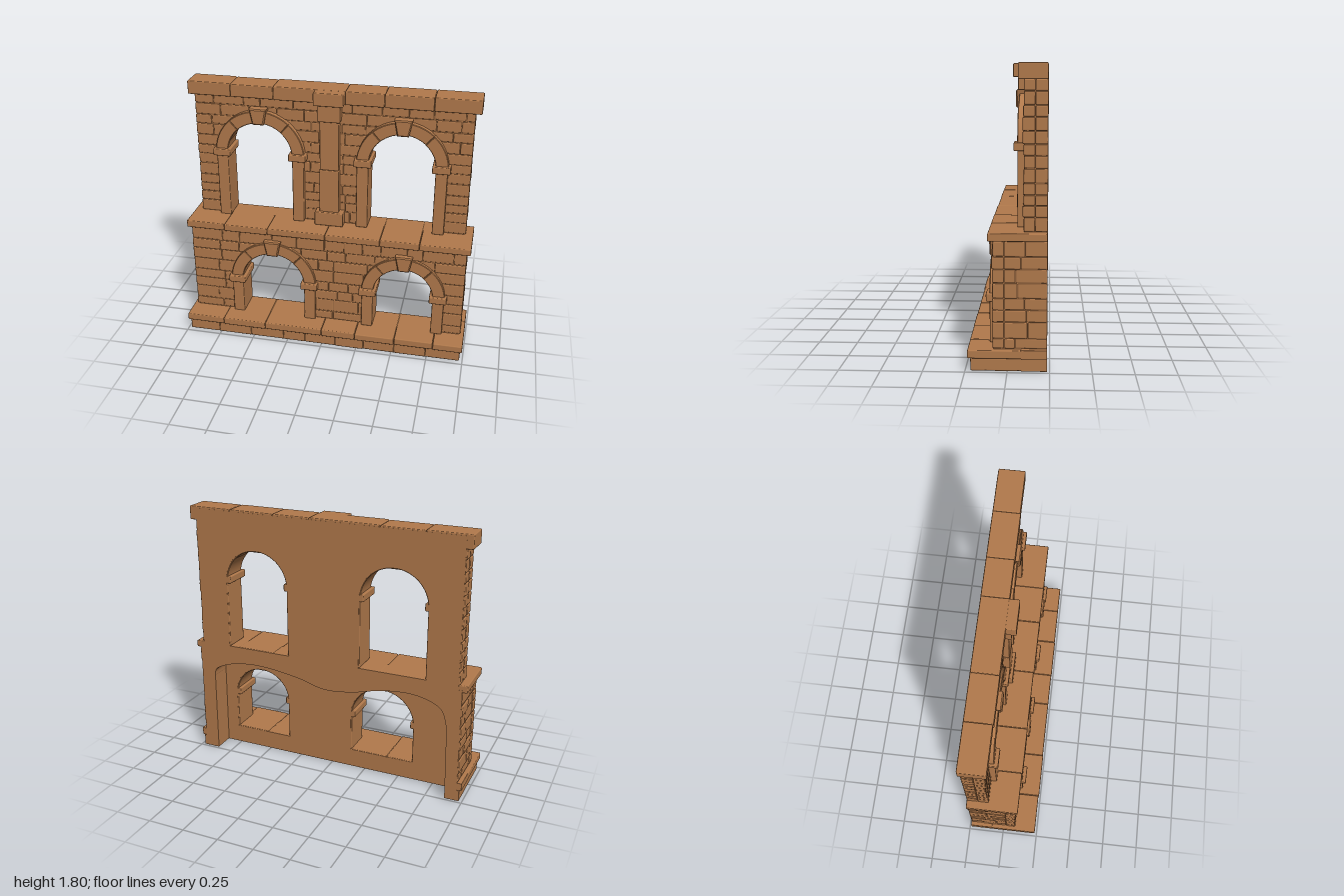
import * as THREE from 'three';
import { mergeGeometries } from 'three/addons/utils/BufferGeometryUtils.js';
import { RoundedBoxGeometry } from 'three/addons/geometries/RoundedBoxGeometry.js';

const BACK = -0.235;   // flat rear plane
const RECESS = -0.09;  // rear wall of the lower hollow
const TRIM = 0.085;    // width of the arch surrounds

export function createModel() {
  const group = new THREE.Group();
  const stone = new THREE.MeshStandardMaterial({ color: 0xb27a4c });
  stone.name = 'brown stone';

  let seed = 7;
  const rand = (a, b) => {
    seed = (seed * 16807) % 2147483647;
    return a + (b - a) * (seed / 2147483647);
  };

  const add = (name, geometries) => {
    const mesh = new THREE.Mesh(mergeGeometries(geometries), stone);
    mesh.name = name;
    group.add(mesh);
  };

  // Stone block given by its limits, with softened edges
  const block = (x0, x1, y0, y1, z0, z1, r = 0.007) => {
    const w = x1 - x0, h = y1 - y0, d = z1 - z0;
    const g = new RoundedBoxGeometry(w, h, d, 1, Math.min(r, w / 3, h / 3, d / 3));
    return g.translate((x0 + x1) / 2, (y0 + y1) / 2, (z0 + z1) / 2);
  };

  // Row of blocks split at the given joints
  const row = (joints, y0, y1, z0, z1) => joints.slice(1).map((x, i) =>
    block(joints[i] + 0.001, x - 0.001, y0 + rand(0, 0.003), y1 - rand(0, 0.004), z0, z1 - rand(0, 0.006)));

  const extrude = (shape, z0, z1, bevel = 0) => new THREE.ExtrudeGeometry(shape, {
    depth: z1 - z0 - 2 * bevel, bevelEnabled: bevel > 0, bevelSize: bevel, bevelThickness: bevel,
    bevelOffset: -bevel, bevelSegments: 1, curveSegments: 20,
  }).translate(0, 0, z0 + bevel);

  const polygon = (points) => new THREE.Shape(points.map(([x, y]) => new THREE.Vector2(x, y)));

  // Openings: centre x, inner radius, sill and spring heights
  const lower = [
    { x: -0.373, r: 0.224, sill: 0.13, spring: 0.405 },
    { x: 0.552, r: 0.207, sill: 0.13, spring: 0.41 },
  ];
  const upper = [
    { x: -0.488, r: 0.227, sill: 0.83, spring: 1.31 },
    { x: 0.49, r: 0.224, sill: 0.83, spring: 1.31 },
  ];

  const openingPath = (o, grow) => {
    const p = new THREE.Path();
    p.moveTo(o.x - o.r - grow, o.sill);
    p.lineTo(o.x + o.r + grow, o.sill);
    p.absarc(o.x, o.spring, o.r + grow, 0, Math.PI, false);
    p.closePath();
    return p;
  };

  // Wall cores with arched openings
  const core = (w, y0, y1, z0, z1, openings) => {
    const s = polygon([[-w, y0], [w, y0], [w, y1], [-w, y1]]);
    s.holes = openings.map((o) => openingPath(o, 0.008));
    return extrude(s, z0, z1);
  };
  add('upperWallCore', [core(0.935, 0.8, 1.79, BACK, -0.098, upper)]);
  add('lowerWallCore', [core(0.96, 0.002, 0.8, RECESS, 0.082, lower)]);

  // Rear of the lower storey, hollowed under a wavy edge
  const rear = polygon([[-0.96, 0.002], [-0.96, 0.8], [0.96, 0.8], [0.96, 0.002], [0.86, 0.002], [0.855, 0.58]]);
  rear.splineThru([[0.83, 0.645], [0.68, 0.7], [0.47, 0.715], [0.2, 0.68], [0, 0.63], [-0.2, 0.645],
    [-0.43, 0.7], [-0.65, 0.71], [-0.82, 0.65], [-0.87, 0.52]].map(([x, y]) => new THREE.Vector2(x, y)));
  rear.lineTo(-0.88, 0.002);
  add('rearRecess', [extrude(rear, BACK, RECESS + 0.005)]);

  // Brick courses on the front and both ends of a storey
  const halfWidth = (o, y) => {
    if (y <= o.spring) return o.r;
    const dy = y - o.spring;
    return dy < o.r ? Math.sqrt(o.r * o.r - dy * dy) : 0;
  };
  const split = (a, b, min, max) => {
    const cuts = [a];
    while (b - cuts[cuts.length - 1] > max) {
      const left = b - cuts[cuts.length - 1];
      cuts.push(cuts[cuts.length - 1] + Math.min(rand(min, max), left - min * 0.6));
    }
    return [...cuts, b];
  };
  const bricks = (name, w, y0, y1, count, front, openings) => {
    const parts = [];
    const weights = Array.from({ length: count }, () => rand(0.75, 1.25));
    const total = weights.reduce((a, b) => a + b, 0);
    let y = y0;
    for (const weight of weights) {
      const top = y + (weight / total) * (y1 - y0);
      const edges = [-w];
      for (const o of openings) {
        const hw = halfWidth(o, y);
        if (hw > 0) edges.push(o.x - hw - 0.015, o.x + hw + 0.015);
      }
      edges.push(w);
      for (let i = 0; i < edges.length; i += 2) {
        const cuts = split(edges[i], edges[i + 1], 0.1, 0.24);
        for (let k = 1; k < cuts.length; k++) {
          const j = rand(0, 0.006);
          parts.push(block(cuts[k - 1] + 0.0015, cuts[k] - 0.0015, y + 0.0015 + j / 3, top - 0.0015,
            front - 0.07, front + 0.004 - j * 1.6));
        }
      }
      for (const side of [-1, 1]) {
        const cuts = split(BACK, front - 0.07, 0.08, 0.2);
        for (let k = 1; k < cuts.length; k++) {
          const out = w - rand(0, 0.007);
          const [a, b] = side > 0 ? [w - 0.05, out] : [-out, -w + 0.05];
          parts.push(block(a, b, y + 0.0015, top - 0.0015, cuts[k - 1] + 0.001, cuts[k] - 0.001));
        }
      }
      y = top;
    }
    add(name, parts);
  };
  bricks('lowerBricks', 0.97, 0.135, 0.78, 8, 0.09, lower);
  bricks('upperBricks', 0.945, 0.83, 1.71, 12, -0.09, upper);

  // Arch surround: jambs, curved stones, imposts and keystone
  const surround = (name, o, back, front) => {
    const parts = [];
    const outer = o.r + TRIM;
    for (const s of [-1, 1]) {
      const span = (a, b) => (s > 0 ? [o.x + a, o.x + b] : [o.x - b, o.x - a]);
      parts.push(block(...span(o.r, outer - 0.005), o.sill, o.spring, back, front));
      parts.push(block(...span(o.r - 0.022, outer + 0.014), o.spring - 0.022, o.spring + 0.028, back, front + 0.022));
    }
    const steps = [0, 0.27, 0.5, 0.73, 1].map((t) => t * Math.PI);
    for (let i = 0; i < 4; i++) {
      const a = steps[i] + 0.001, b = steps[i + 1] - 0.001;
      const s = new THREE.Shape();
      s.absarc(o.x, o.spring, outer, a, b, false);
      s.absarc(o.x, o.spring, o.r, b, a, true);
      s.closePath();
      parts.push(extrude(s, back, front - (i % 2) * 0.003, 0.004));
    }
    const y0 = o.spring + o.r - 0.005, y1 = o.spring + outer + 0.02;
    parts.push(extrude(polygon([[o.x - 0.038, y0], [o.x + 0.038, y0], [o.x + 0.06, y1], [o.x - 0.06, y1]]),
      back, front + 0.018, 0.008));
    add(name, parts);
  };
  lower.forEach((o, i) => surround(['lowerRightArch', 'lowerLeftArch'][i], o, RECESS + 0.001, 0.112));
  upper.forEach((o, i) => surround(['upperRightArch', 'upperLeftArch'][i], o, BACK + 0.001, -0.052));

  // Base plinth: two stepped layers on a flat slab, returned along the ends
  const plinth = [
    ...row([-0.98, -0.76, -0.52, -0.28, -0.12, 0.1, 0.3, 0.52, 0.74, 0.98], 0, 0.082, RECESS, 0.222),
    ...row([-0.995, -0.72, -0.41, 0, 0.24, 0.52, 0.79, 0.995], 0.08, 0.135, RECESS, 0.24),
    block(-0.972, 0.972, 0, 0.06, RECESS, 0.212, 0.002),
  ];
  for (const s of [-1, 1]) {
    const span = (a, b) => (s > 0 ? [a, b] : [-b, -a]);
    plinth.push(block(...span(0.88, 0.978), 0, 0.08, BACK, RECESS + 0.01, 0.003));
    plinth.push(block(...span(0.88, 0.993), 0.08, 0.135, BACK, RECESS + 0.01, 0.003));
  }
  add('basePlinth', plinth);

  // Ledge between storeys
  add('middleLedge', row([-0.995, -0.72, -0.41, 0, 0.38, 0.65, 0.995], 0.78, 0.834, BACK + 0.001, 0.115));

  // Cornice with a projecting centre
  add('topCornice', [
    ...row([-0.98, -0.68, -0.385, 0.1, 0.36, 0.68, 0.985], 1.708, 1.802, BACK + 0.001, -0.058),
    block(-0.1, 0.1, 1.71, 1.8, -0.2, 0.003),
  ]);

  // Central pilaster
  add('pilaster', [
    block(-0.1, 0.1, 0.83, 0.93, -0.14, -0.025),
    block(-0.07, 0.066, 0.925, 1.24, -0.14, -0.045),
    block(-0.067, 0.064, 1.24, 1.6, -0.14, -0.048),
    block(-0.08, 0.075, 1.59, 1.71, -0.14, -0.03),
  ]);

  return group;
}
